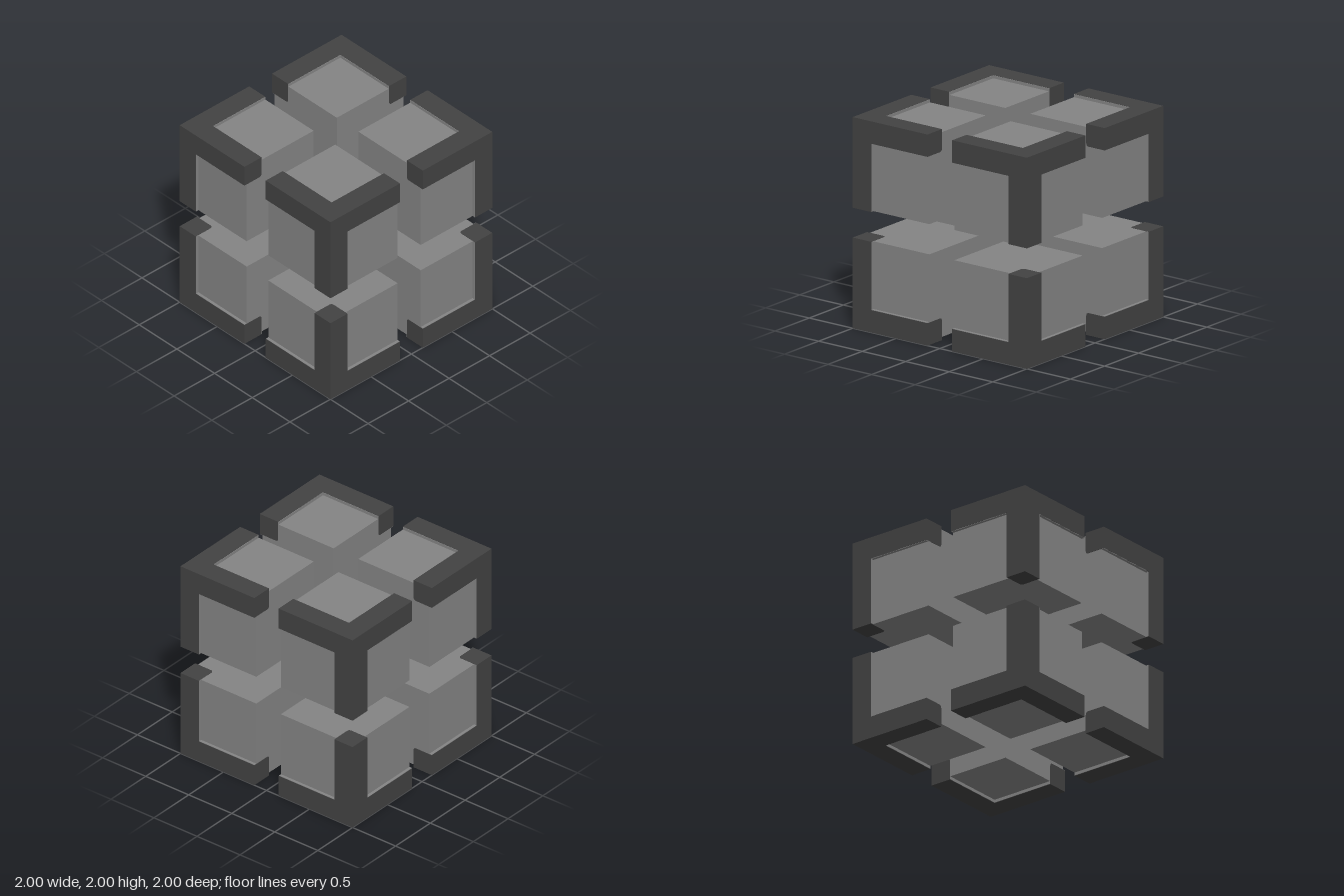
import * as THREE from 'three';

const GAP = 0.141;    // inner end of the edge bars
const INNER = 0.788;  // inner edge of the frame
const FACE = 0.97;    // recessed panel plane
const ROUND = 0.03;   // rounded inner edge of a bar

const frameMat = new THREE.MeshStandardMaterial({ color: 0x424242 });
frameMat.name = 'dark frame';
const blockMat = new THREE.MeshStandardMaterial({ color: 0x848484 });
blockMat.name = 'grey block';

// Box given by its minimum and maximum corners
function box(a, b) {
  const g = new THREE.BoxGeometry(b[0] - a[0], b[1] - a[1], b[2] - a[2]);
  return g.translate((a[0] + b[0]) / 2, (a[1] + b[1]) / 2, (a[2] + b[2]) / 2);
}

// Square bar along z with its inward edge rounded
function barGeometry() {
  const s = new THREE.Shape();
  s.moveTo(1, 1);
  s.lineTo(INNER, 1);
  s.lineTo(INNER, INNER + ROUND);
  s.quadraticCurveTo(INNER, INNER, INNER + ROUND, INNER);
  s.lineTo(1, INNER);
  s.closePath();
  const g = new THREE.ExtrudeGeometry(s, { depth: INNER - GAP, bevelEnabled: false, curveSegments: 5 });
  return g.translate(0, 0, GAP);
}

// One corner piece in the +x +y +z octant
function cornerPiece() {
  const piece = new THREE.Group();
  const add = (parent, name, geometry, material) => {
    const m = new THREE.Mesh(geometry, material);
    m.name = name;
    parent.add(m);
  };
  const c = GAP + 0.002;
  add(piece, 'block', box([c, c, c], [FACE, FACE, FACE]), blockMat);
  add(piece, 'frameCorner', box([INNER, INNER, INNER], [1, 1, 1]), frameMat);

  // The same bar and recess lining for each axis, turned about the cube's diagonal
  const diagonal = new THREE.Vector3(1, 1, 1).normalize();
  const bar = barGeometry();
  const t = 0.004, top = 0.998;
  for (let i = 0; i < 3; i++) {
    const side = new THREE.Group();
    side.name = 'frameSide';
    side.quaternion.setFromAxisAngle(diagonal, i * Math.PI * 2 / 3);
    add(side, 'edgeBar', bar, frameMat);
    add(side, 'recessLiningX', box([INNER - t, c, FACE - t], [INNER, INNER, top]), blockMat);
    add(side, 'recessLiningY', box([c, INNER - t, FACE - t], [INNER, INNER, top]), blockMat);
    piece.add(side);
  }
  return piece;
}

export function createModel() {
  const model = new THREE.Group();
  model.name = 'splitCube';
  // Mirror the piece into all eight octants
  for (const x of [-1, 1]) for (const y of [-1, 1]) for (const z of [-1, 1]) {
    const piece = cornerPiece();
    piece.name = `${y > 0 ? 'top' : 'bottom'}${z > 0 ? 'Front' : 'Back'}${x > 0 ? 'Left' : 'Right'}Piece`;
    piece.scale.set(x, y, z);
    piece.position.y = 1;
    model.add(piece);
  }
  return model;
}
